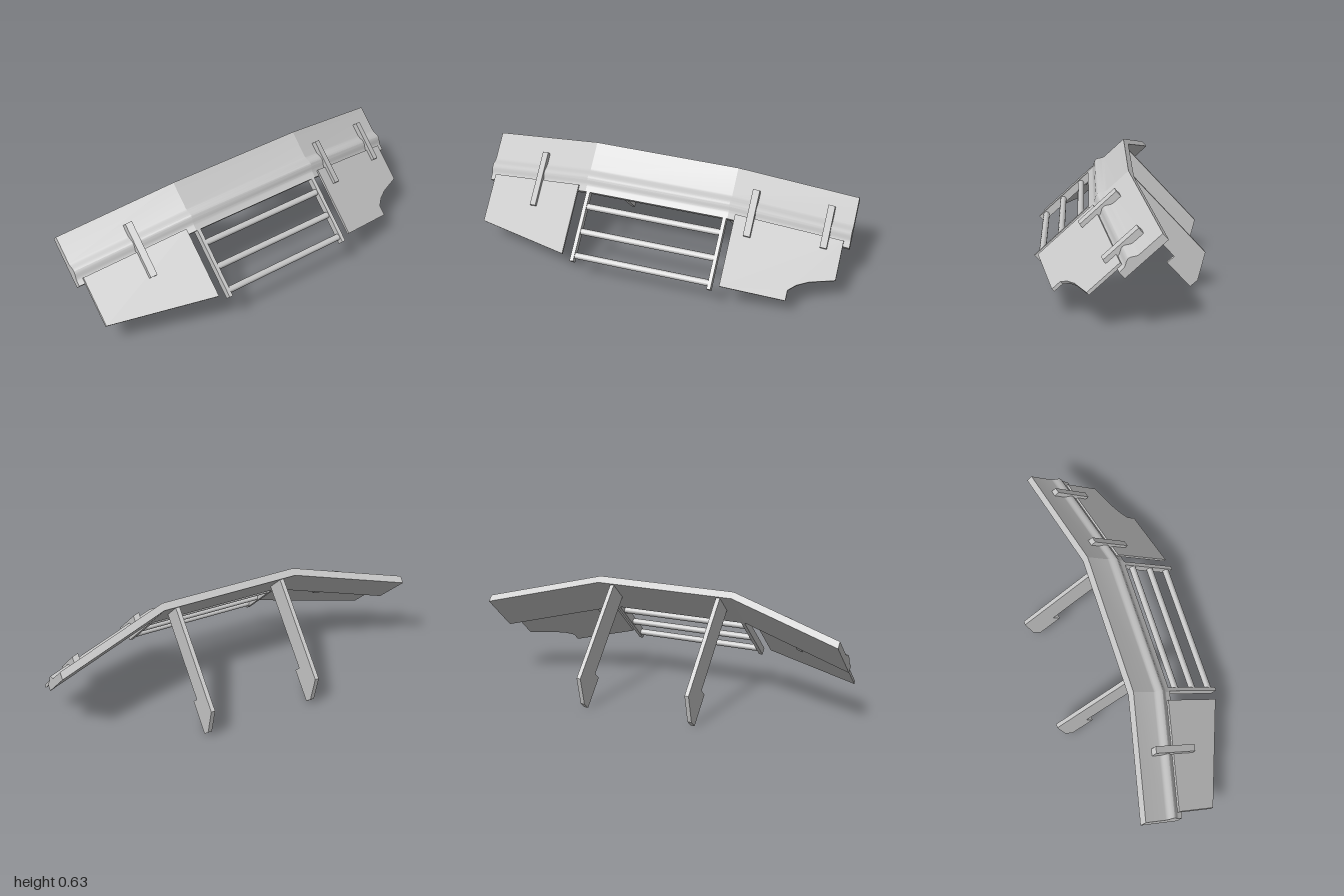
import * as THREE from 'three';
import { toCreasedNormals } from 'three/addons/utils/BufferGeometryUtils.js';

const FOLD_X = 0.385;   // where the wings start to bend back
const FOLD = 0.32;      // drop of the wings per unit of x
const drop = x => -FOLD * Math.max(0, Math.abs(x) - FOLD_X);

// Local frame of the tilted assembly: x sideways, y out of the plate, z down the slope.
export function createModel() {
  const model = new THREE.Group();
  model.name = 'foldedShield';
  const grey = new THREE.MeshStandardMaterial({ color: 0xc8c8c8 });
  grey.name = 'light grey';

  const tilted = new THREE.Group();
  tilted.name = 'tiltedAssembly';
  tilted.rotation.x = 0.745;
  tilted.position.set(0, 0.63, -0.035);
  model.add(tilted);

  const add = (name, geometry, x = 0, y = 0, z = 0) => {
    const mesh = new THREE.Mesh(geometry, grey);
    mesh.name = name;
    mesh.position.set(x, y, z);
    tilted.add(mesh);
    return mesh;
  };
  const polygon = pts => new THREE.Shape(pts.map(p => new THREE.Vector2(p[0], p[1])));

  // Shift every vertex along the plate normal so that it follows the fold
  const bend = geometry => {
    const p = geometry.attributes.position;
    for (let i = 0; i < p.count; i++) p.setY(i, p.getY(i) + drop(p.getX(i)));
    geometry.computeVertexNormals();
    return geometry;
  };

  // Extrude a (slope, normal) section sideways, centred on x = 0
  const section = (pts, width, steps = 1) => {
    const shape = polygon(pts.map(([s, n]) => [-s, n]));
    return new THREE.ExtrudeGeometry(shape, { depth: width, steps, bevelEnabled: false })
      .rotateY(Math.PI / 2)
      .translate(-width / 2, 0, 0);
  };

  // Main plate: flat section with a rounded rib, folded at two lines
  const profile = [[0, -0.04], [0, 0]];
  const ribStart = 0.145, ribEnd = 0.242, ribSteps = 12;
  for (let i = 0; i <= ribSteps; i++) {
    const t = i / ribSteps;
    profile.push([ribStart + (ribEnd - ribStart) * t, 0.01 * (1 - Math.cos(2 * Math.PI * t))]);
  }
  profile.push([0.27, 0], [0.27, -0.04]);
  const plate = section(profile, 2, 3);
  const pp = plate.attributes.position;
  for (let i = 0; i < pp.count; i++) {
    const x = pp.getX(i);
    if (Math.abs(x) < 0.5) pp.setX(i, Math.sign(x) * FOLD_X);
  }
  add('mainPlate', toCreasedNormals(bend(plate), 0.29));

  // Side flaps continuing the wings down the slope
  const flap = (name, pts) => {
    const geometry = new THREE.ExtrudeGeometry(polygon(pts.map(([x, s]) => [x, -s])),
      { depth: 0.017, bevelEnabled: false });
    geometry.rotateX(-Math.PI / 2).translate(0, -0.005, 0);
    add(name, bend(geometry));
  };
  flap('rightFlap', [[-0.97, 0.24], [-0.43, 0.24], [-0.43, 0.615], [-0.97, 0.505]]);
  flap('leftFlap', [[0.42, 0.24], [0.967, 0.24], [0.967, 0.45], [0.84, 0.49],
    [0.785, 0.52], [0.748, 0.555], [0.748, 0.61], [0.42, 0.617]]);

  // Straps clamping the flaps to the plate
  for (const [x, top, bottom] of [[-0.675, 0.09, 0.385], [0.5, 0.095, 0.34], [0.877, 0.08, 0.305]]) {
    const height = 0.044;
    add('strap', bend(new THREE.BoxGeometry(0.034, height, bottom - top)
      .translate(x, 0.034 - height / 2, (top + bottom) / 2)));
  }

  // Ladder in the middle gap
  for (const side of [-1, 1]) {
    add('ladderRail', new THREE.BoxGeometry(0.02, 0.04, 0.393), side * 0.37, -0.02, 0.4465);
  }
  for (const s of [0.343, 0.478, 0.608]) {
    const rung = toCreasedNormals(new THREE.CylinderGeometry(0.017, 0.017, 0.73, 16).rotateZ(Math.PI / 2), 0.6);
    add('ladderRung', rung, 0, -0.02, s);
  }

  // Hooked support legs behind the plate
  const legProfile = [[0.011, -0.03], [0.011, -0.598], [0.14, -0.683], [0.191, -0.681],
    [0.191, -0.505], [0.142, -0.505], [0.142, -0.03]];
  for (const side of [-1, 1]) {
    add('supportLeg', section(legProfile, 0.022), side * 0.307);
  }
  return model;
}
